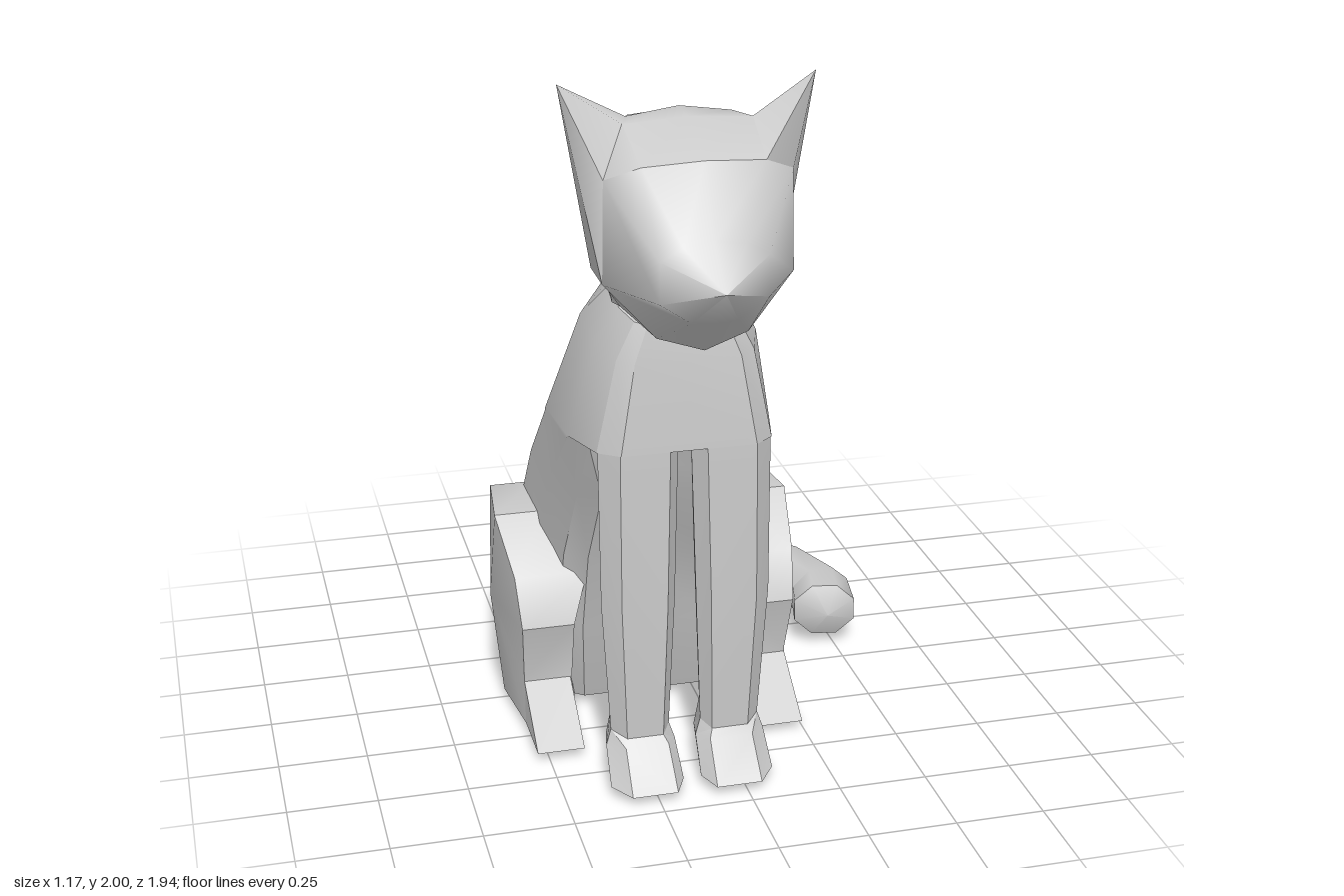
import * as THREE from 'three';
import { toCreasedNormals } from 'three/addons/utils/BufferGeometryUtils.js';

const CX = -0.145; // the animal sits a little right of centre, its tail fills the left

// Skin a list of equal-length rings of [x, y, z] and close both ends with a fan.
function loft(name, rings, { crease = 0.5, start, end } = {}) {
  const n = rings[0].length;
  const mean = r => [0, 1, 2].map(k => r.reduce((s, p) => s + p[k], 0) / n);
  const pts = rings.flat();
  const a = pts.push(start ?? mean(rings[0])) - 1;
  const b = pts.push(end ?? mean(rings.at(-1))) - 1;
  const tris = [];
  const last = (rings.length - 1) * n;
  for (let j = 0; j < n; j++) {
    const k = (j + 1) % n;
    for (let i = 0; i < last; i += n) {
      tris.push([i + j, i + k, i + n + j], [i + k, i + n + k, i + n + j]);
    }
    tris.push([a, k, j], [b, last + j, last + k]);
  }
  // turn all faces outward, whichever way the rings run
  const v = pts.map(p => new THREE.Vector3(...p));
  const volume = tris.reduce((s, [p, q, r]) => s + v[p].dot(v[q].clone().cross(v[r])), 0);
  if (volume < 0) tris.forEach(t => t.reverse());
  const geo = new THREE.BufferGeometry();
  geo.setAttribute('position', new THREE.Float32BufferAttribute(pts.flat(), 3));
  geo.setIndex(tris.flat());
  const mesh = new THREE.Mesh(toCreasedNormals(geo, crease),
    new THREE.MeshStandardMaterial({ color: 0xcccccc }));
  mesh.name = name;
  return mesh;
}

// Body: slanted rings from a back point to a front point, with a ridged spine
function makeBody() {
  const half = [[0.55, 0.08], [1, 0.42], [0.98, 0.74], [0.83, 0.94], [0.64, 1]];
  const section = [[0, 0], ...half, ...half.map(([u, t]) => [-u, t]).reverse()];
  // back z, back y, front z, front y, half width
  const rings = [
    [0.24, 1.44, 0.58, 1.35, 0.165],
    [0.07, 1.33, 0.595, 1.25, 0.225],
    [-0.27, 0.93, 0.608, 1.0, 0.29],
    [-0.4, 0.74, 0.4, 0.8, 0.305],
    [-0.58, 0.46, 0.25, 0.55, 0.32],
    [-0.66, 0.2, 0.19, 0.3, 0.33],
    [-0.69, 0.03, 0.1, 0.03, 0.3],
  ].map(([bz, by, fz, fy, w]) =>
    section.map(([u, t]) => [u * w, by + (fy - by) * t, bz + (fz - bz) * t]));
  // step back under the chest, behind the front legs
  rings.splice(3, 0, rings[2].map(([x, y, z]) => [x, y - 0.015, Math.min(z, 0.47) - 0.009]));
  return loft('body', rings, { crease: 0.4 });
}

// Head ring: top y, right-hand points [x, y, z offset] from top to bottom, bottom y
function headRing([z, top, ...side]) {
  const bottom = side.pop();
  const right = side.map(([x, y, dz = 0]) => [x, y, z + dz]);
  return [[0, top, z], ...right, [0, bottom, z],
    ...right.map(([x, y, pz]) => [-x, y, pz]).reverse()];
}

// Skull and face share the rim ring, so the brow and cheeks stay sharp
const faceRim = [0.76, 1.83, [0.16, 1.82, -0.01], [0.245, 1.78, -0.06],
  [0.25, 1.51, -0.06], [0.12, 1.37, -0.02], 1.335];

// Skull: rings from nape to face; the ears are drawn out of one ring
function makeSkull() {
  const rings = [
    [0.235, 1.74, [0.08, 1.73, 0.02], [0.13, 1.68, 0.03], [0.145, 1.55, 0.03], [0.13, 1.42, 0.03], 1.43],
    [0.28, 1.81, [0.1, 1.8, 0.02], [0.17, 1.73, 0.04], [0.185, 1.58, 0.04], [0.155, 1.41, 0.04], 1.41],
    [0.38, 1.87, [0.11, 1.86], [0.19, 1.78], [0.2, 1.6], [0.17, 1.4], 1.39],
    [0.49, 1.905, [0.14, 1.885], [0.21, 1.82], [0.215, 1.6], [0.18, 1.39], 1.36],
    [0.585, 1.9, [0.17, 1.89], [0.335, 2.0], [0.255, 1.52], [0.18, 1.41], 1.34],
    faceRim,
  ].map(headRing);
  return loft('skullAndEars', rings, { crease: 0.95, start: [0, 1.6, 0.22] });
}

// Face: smooth mask tapering to the nose
function makeFace() {
  const middle = [0.86, 1.65, [0.08, 1.64], [0.14, 1.61], [0.14, 1.5], [0.06, 1.445], 1.44];
  return loft('face', [faceRim, middle].map(headRing),
    { crease: 1.2, start: [0, 1.6, 0.6], end: [0, 1.55, 0.97] });
}

// Front leg: six-sided column running into a pointed paw
function makeFrontLeg(s) {
  // front z, front y, back z, back y, inner x, outer x
  const rings = [
    [0.605, 1.0, 0.46, 0.985, 0.018, 0.238],
    [0.61, 0.55, 0.47, 0.55, 0.03, 0.235],
    [0.59, 0.15, 0.475, 0.19, 0.045, 0.21],
    [0.61, 0.13, 0.46, 0.1, 0.03, 0.225],
    [0.705, 0.03, 0.52, 0.045, 0.025, 0.23],
  ].map(([fz, fy, bz, by, xi, xo]) => {
    const at = (u, t) => [s * (xi + (xo - xi) * u), by + (fy - by) * t, bz + (fz - bz) * t];
    return [at(0.15, 1), at(0.77, 1), at(1, 0.65), at(0.9, 0), at(0.1, 0), at(0, 0.65)];
  });
  return loft('frontLeg', rings, { crease: 0.4 });
}

// Haunch: a side outline with its own inner and outer x at each corner
function makeHaunch(s) {
  // z, y, outer x, inner x
  const outline = [
    [0.22, 0.03, 0.39, 0.25], [0.21, 0.17, 0.39, 0.25], [0.26, 0.35, 0.4, 0.25],
    [0.21, 0.49, 0.41, 0.2], [0.04, 0.615, 0.435, 0.29], [-0.18, 0.615, 0.41, 0.28],
    [-0.5, 0.44, 0.29, 0.14], [-0.62, 0.2, 0.22, 0.1], [-0.63, 0.03, 0.22, 0.1],
    [-0.35, 0.03, 0.36, 0.15], [0, 0.03, 0.415, 0.2],
  ];
  const rings = [3, 2].map(k => outline.map(p => [s * p[k], p[1], p[0]]));
  return loft('haunch', rings, { crease: 0.6, end: [s * 0.445, 0.34, -0.02] });
}

// Hind paw: flat wedge in front of the haunch
function makeHindPaw(s) {
  const side = [[0.1, 0.03], [0.405, 0.03], [0.21, 0.16], [0.1, 0.16]];
  return loft('hindPaw', [0.255, 0.39].map(x => side.map(([z, y]) => [s * x, y, z])));
}

// Tail: octagonal rings swept along a curled line, with a blunt tip
function makeTail() {
  const path = [[-0.148, 0.12, -0.55], [-0.143, 0.12, -0.81], [-0.07, 0.09, -0.88],
    [0.04, 0.085, -0.88], [0.18, 0.09, -0.735], [0.325, 0.1, -0.56], [0.435, 0.115, -0.39],
    [0.49, 0.122, -0.215], [0.467, 0.122, -0.095]].map(p => new THREE.Vector3(...p));
  const up = new THREE.Vector3(0, 1, 0);
  const rings = path.map((p, i) => {
    const before = path[Math.max(i - 1, 0)], after = path[Math.min(i + 1, path.length - 1)];
    const side = after.clone().sub(before).setY(0).normalize().cross(up);
    return Array.from({ length: 8 }, (_, j) => {
      const a = (j + 0.5) * Math.PI / 4;
      return p.clone().addScaledVector(side, 0.1 * Math.cos(a))
        .addScaledVector(up, 0.088 * Math.sin(a)).toArray();
    });
  });
  return loft('tail', rings, { crease: 0.9, end: [0.464, 0.122, -0.05] });
}

export function createModel() {
  const model = new THREE.Group();
  model.name = 'sittingCat';
  const cat = new THREE.Group();
  cat.name = 'cat';
  cat.position.x = CX;
  cat.add(makeBody(), makeSkull(), makeFace());
  for (const s of [1, -1]) cat.add(makeFrontLeg(s), makeHaunch(s), makeHindPaw(s));
  model.add(cat, makeTail());
  return model;
}
